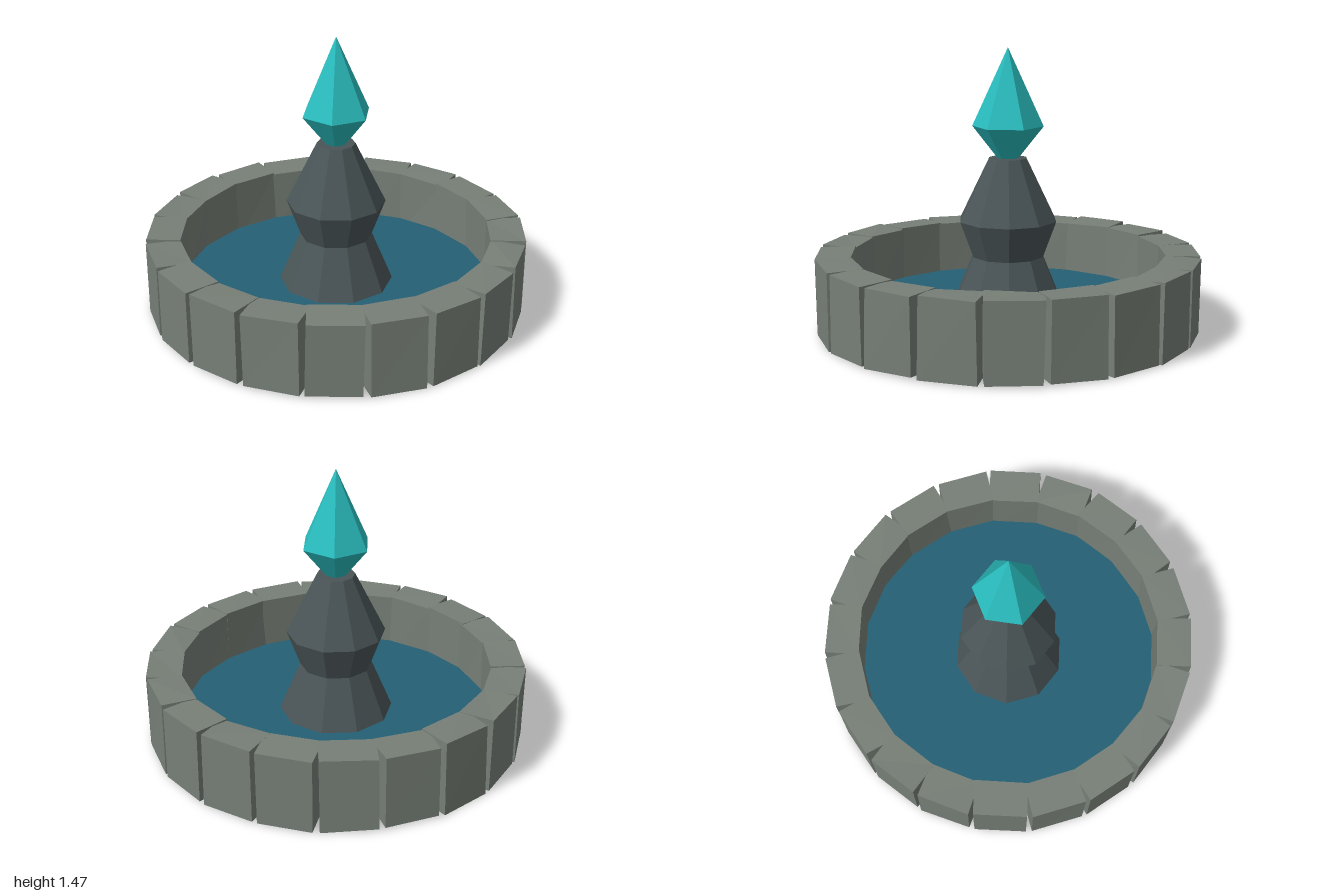
import * as THREE from 'three';

const mat = (name, color, extra = {}) => {
  const m = new THREE.MeshStandardMaterial({ color, flatShading: true, ...extra });
  m.name = name;
  return m;
};

// Small seeded generator, returns -1..1
function makeRandom(seed) {
  return () => {
    seed = (seed * 16807) % 2147483647;
    return (seed / 2147483647) * 2 - 1;
  };
}

// Box whose eight corners are nudged slightly, like a rough-cut block
function roughBlock(w, h, d, amount, rand) {
  const geo = new THREE.BoxGeometry(w, h, d);
  const nudges = Array.from({ length: 8 }, () => [rand(), rand(), rand()]);
  const p = geo.attributes.position;
  for (let i = 0; i < p.count; i++) {
    const [x, y, z] = [p.getX(i), p.getY(i), p.getZ(i)];
    const n = nudges[(x > 0 ? 1 : 0) + (y > 0 ? 2 : 0) + (z > 0 ? 4 : 0)];
    p.setXYZ(i, x + n[0] * amount, y + n[1] * amount, z + n[2] * amount * 0.5);
  }
  geo.computeVertexNormals();
  return geo;
}

// Faceted solid of revolution with a corner on the x axis
function faceted(name, profile, sides, material) {
  const points = profile.map(([r, y]) => new THREE.Vector2(r, y));
  const mesh = new THREE.Mesh(new THREE.LatheGeometry(points, sides, Math.PI / 2), material);
  mesh.name = name;
  return mesh;
}

export function createModel() {
  const stone = mat('rim stone', 0x777f77);
  const darkStone = mat('dark pillar stone', 0x4a5557);
  const water = mat('deep water', 0x246074);
  const crystal = mat('teal crystal', 0x2abdbf);

  const model = new THREE.Group();
  model.name = 'crystalFountain';

  // Ring of rough blocks
  const rim = new THREE.Group();
  rim.name = 'stoneRim';
  const rand = makeRandom(4711);
  const count = 20;
  for (let i = 0; i < count; i++) {
    const angle = (i / count) * Math.PI * 2;
    const block = new THREE.Mesh(roughBlock(0.28, 0.395, 0.182, 0.007, rand), stone);
    block.name = 'rimBlock';
    block.position.set(Math.sin(angle) * 0.899, 0.205, Math.cos(angle) * 0.899);
    block.rotation.y = angle + rand() * 0.015;
    rim.add(block);
  }
  model.add(rim);

  // Water surface with a thin body
  model.add(faceted('water', [[0, 0.09], [0.83, 0.09], [0.83, 0.12], [0, 0.12]], 20, water));

  // Central pillar: flared foot, neck, belly and narrow top
  model.add(faceted('pillar',
    [[0, 0.085], [0.315, 0.085], [0.19, 0.385], [0.26, 0.575], [0.1, 0.9], [0, 0.9]], 10, darkStone));

  // Crystal with its lower point sunk into the pillar
  model.add(faceted('crystal', [[0, 0.83], [0.185, 1.065], [0, 1.47]], 6, crystal));

  return model;
}
